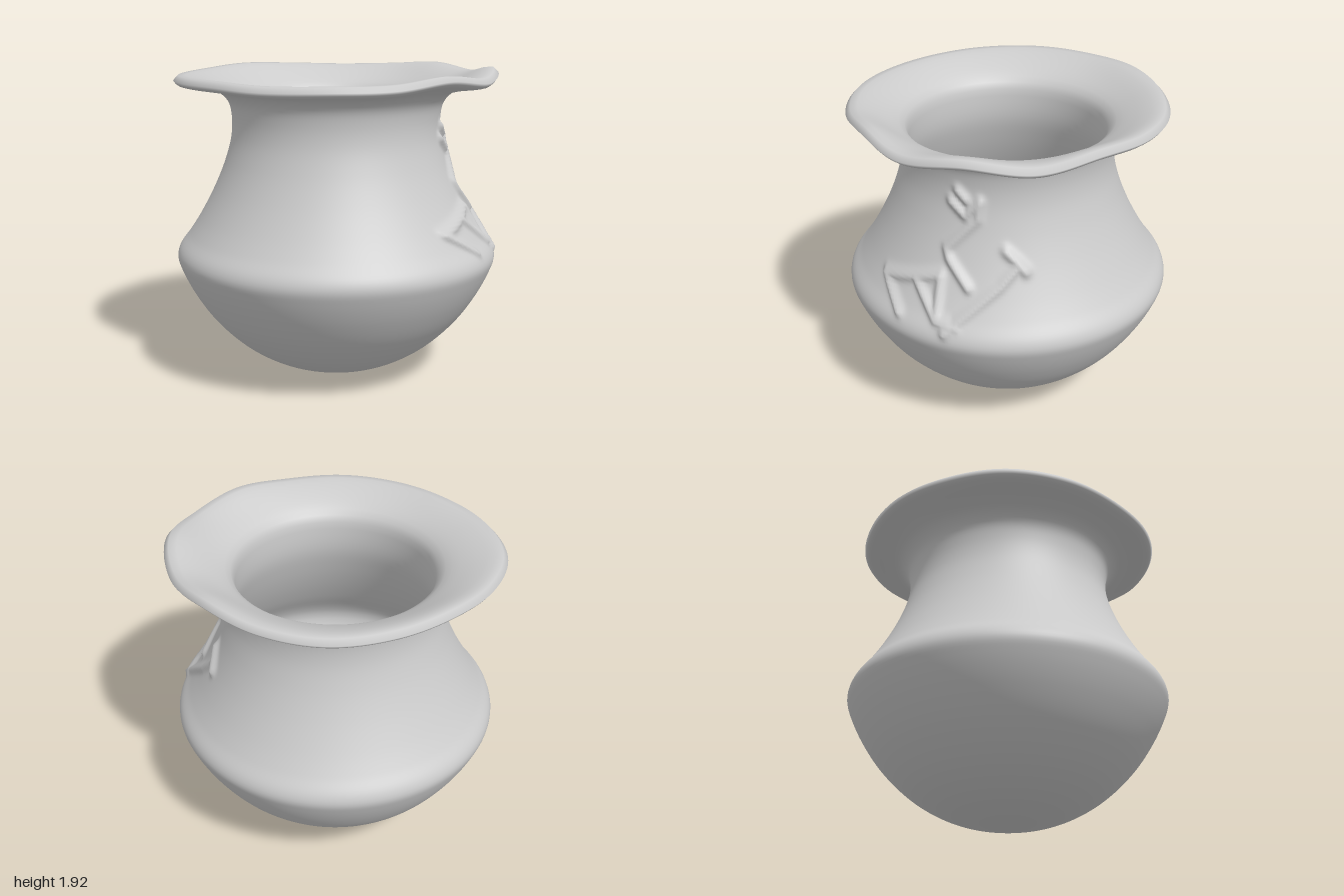
import * as THREE from 'three';
import { mergeVertices } from 'three/addons/utils/BufferGeometryUtils.js';

// smooth curve through [radius, height] pairs, sampled evenly
function profile(pairs, n) {
  const curve = new THREE.CatmullRomCurve3(pairs.map(([r, y]) => new THREE.Vector3(r, y, 0)));
  return curve.getSpacedPoints(n).map(p => new THREE.Vector2(Math.max(p.x, 0), p.y));
}

// periodic smooth lookup, angle measured from +x towards +z
function around(table, angle) {
  const n = table.length;
  const t = ((angle / (Math.PI * 2)) % 1 + 1) % 1 * n;
  const i = Math.floor(t), f = t - i;
  const [a, b, c, d] = [-1, 0, 1, 2].map(k => table[(i + k + n) % n]);
  return b + 0.5 * f * (c - a + f * (2 * a - 5 * b + 4 * c - d + f * (3 * (b - c) + d - a)));
}

// hand-shaped rim: radius and lift at sixteen directions
const rimRadius = [0.99, 0.98, 0.945, 0.95, 0.96, 0.96, 0.945, 0.975,
  1.0, 0.975, 0.955, 0.95, 0.955, 0.95, 0.95, 0.97];
const rimLift = [0.04, -0.005, 0.025, -0.01, -0.015, -0.02, -0.01, -0.01,
  -0.01, 0, 0.02, 0.01, 0, 0.01, 0.03, -0.005];

// raised strokes on the +x side, as [z, y] polylines
const strokes = [
  [[0.17, 1.5], [0.08, 1.43], [0.0, 1.52], [0.01, 1.42], [0.18, 1.24], [0.16, 1.19], [0.03, 1.06]],
  [[0.13, 1.57], [0.08, 1.52]],
  [[-0.16, 1.26], [-0.23, 1.2], [-0.28, 1.15]],
  [[-0.24, 1.19], [-0.15, 1.08], [0.14, 0.83]],
  [[0.57, 0.99], [0.36, 1.05], [0.2, 0.88], [0.08, 0.87]],
  [[0.57, 0.99], [0.44, 0.86]],
  [[0.36, 1.05], [0.2, 1.1], [0.2, 0.9]],
];

function strokeDistance(z, y) {
  let best = Infinity;
  for (const line of strokes) {
    for (let i = 0; i + 1 < line.length; i++) {
      const [az, ay] = line[i], [bz, by] = line[i + 1];
      const dz = bz - az, dy = by - ay;
      const t = THREE.MathUtils.clamp(((z - az) * dz + (y - ay) * dy) / (dz * dz + dy * dy), 0, 1);
      best = Math.min(best, Math.hypot(z - az - t * dz, y - ay - t * dy));
    }
  }
  return best;
}

export function createModel() {
  const group = new THREE.Group();
  group.name = 'pot';

  // outside wall, from the base up to the rolled rim
  const outer = profile([
    [0, 0], [0.2, 0.017], [0.4, 0.075], [0.6, 0.19], [0.78, 0.36], [0.9, 0.53],
    [0.975, 0.68], [0.998, 0.755], [0.985, 0.81], [0.92, 0.9], [0.85, 1.01], [0.76, 1.18],
    [0.69, 1.35], [0.65, 1.5], [0.645, 1.62], [0.665, 1.71], [0.72, 1.77],
    [0.8, 1.797], [0.9, 1.812], [0.95, 1.825], [0.97, 1.85],
  ], 135);
  // inside wall, from the rim down the flared lip to the floor
  const inner = profile([
    [0.97, 1.85], [0.96, 1.873], [0.92, 1.882], [0.84, 1.865], [0.74, 1.825], [0.65, 1.775],
    [0.605, 1.73], [0.592, 1.65], [0.595, 1.5], [0.64, 1.34], [0.71, 1.17], [0.8, 1.0],
    [0.9, 0.84], [0.925, 0.76], [0.9, 0.66], [0.82, 0.51], [0.7, 0.35], [0.5, 0.19],
    [0.3, 0.1], [0.12, 0.07], [0, 0.07],
  ], 60);
  const points = [...outer, ...inner.slice(1)];

  const lathe = new THREE.LatheGeometry(points, 360);
  const pos = lathe.attributes.position;
  for (let i = 0; i < pos.count; i++) {
    const row = i % points.length;
    let x = pos.getX(i), y = pos.getY(i), z = pos.getZ(i);
    const r = Math.hypot(x, z), angle = Math.atan2(z, x);
    let grow = 0;
    // uneven rim
    if (y > 1.7) {
      const w = THREE.MathUtils.smoothstep(r, 0.66, 0.97);
      grow = w * (around(rimRadius, angle) - 0.97);
      y += w * around(rimLift, angle);
    }
    // raised strokes on the outside wall
    if (row < outer.length && x > 0 && y > 0.75 && y < 1.7 && Math.abs(z) < 0.7) {
      const d = strokeDistance(z, y) / 0.026;
      grow += 0.03 * Math.exp(-d * d);
    }
    const s = r > 1e-6 ? (r + grow) / r : 1;
    pos.setXYZ(i, x * s, y, z * s);
  }

  // weld the seam so that shading runs smoothly round the pot
  lathe.deleteAttribute('uv');
  lathe.deleteAttribute('normal');
  const geometry = mergeVertices(lathe, 1e-5);
  geometry.computeVertexNormals();

  const body = new THREE.Mesh(geometry, new THREE.MeshStandardMaterial({ color: 0xcccccc }));
  body.name = 'potBody';
  group.add(body);
  return group;
}
